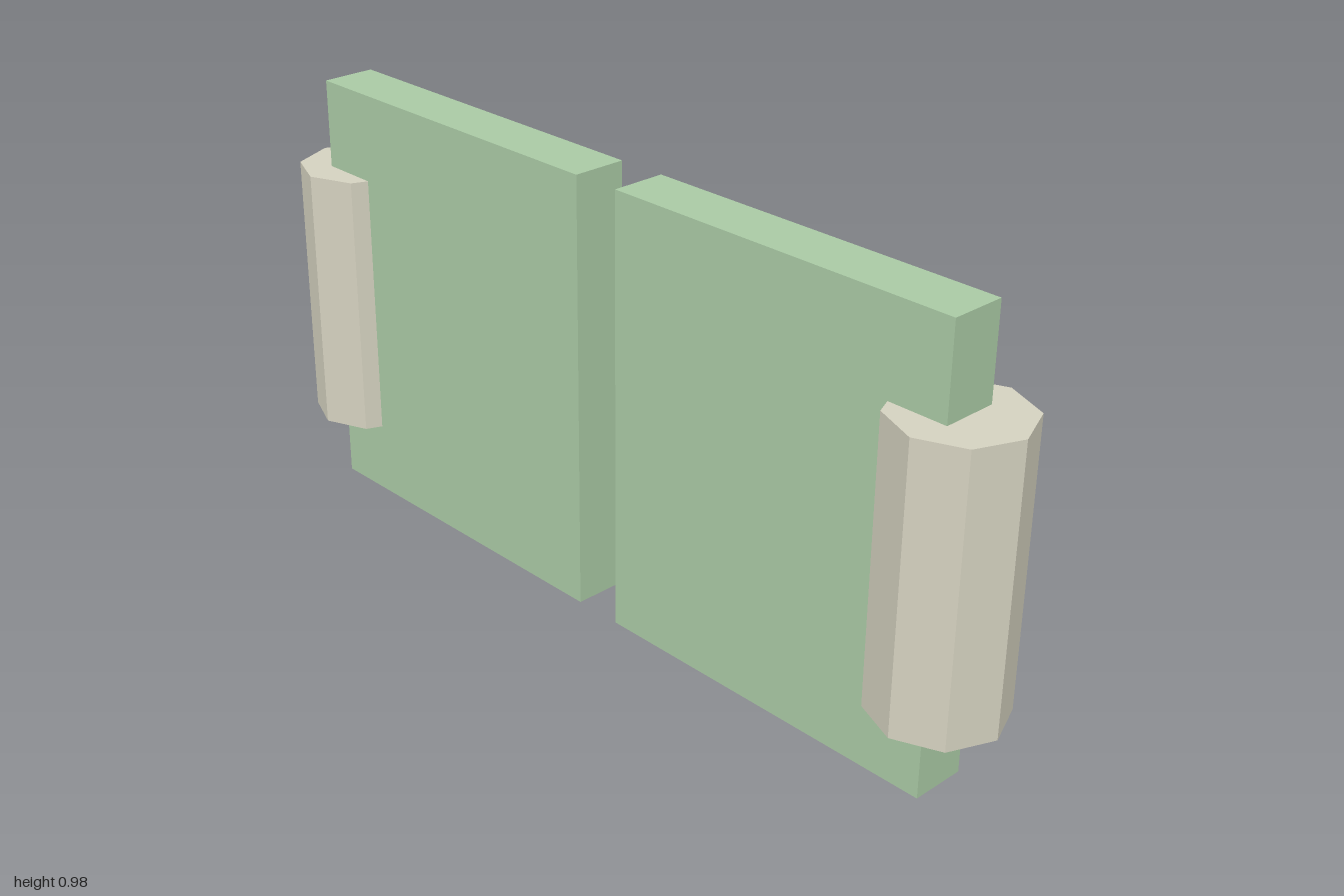
import * as THREE from 'three';

export function createModel() {
  const group = new THREE.Group();
  const panelMat = new THREE.MeshStandardMaterial({ color: 0xa9c9a4, flatShading: true });
  const postMat = new THREE.MeshStandardMaterial({ color: 0xd4d1bf, flatShading: true });

  // One swing door: a flat panel hung on an octagonal hinge post
  function addDoor(side, { inner, outer, postX, postRadius }) {
    const sign = side === 'left' ? 1 : -1;
    const door = new THREE.Group();
    door.name = side + 'Door';

    const height = 0.976;
    const panel = new THREE.Mesh(new THREE.BoxGeometry(outer - inner, height, 0.122), panelMat);
    panel.name = side + 'Panel';
    panel.position.set(sign * (inner + outer) / 2, height / 2, 0);

    const post = new THREE.Mesh(new THREE.CylinderGeometry(postRadius, postRadius, 0.61, 8), postMat);
    post.name = side + 'HingePost';
    post.position.set(sign * postX, 0.471, 0);

    door.add(panel, post);
    group.add(door);
  }

  addDoor('left', { inner: 0.055, outer: 0.878, postX: 0.861, postRadius: 0.139 });
  addDoor('right', { inner: 0.056, outer: 0.888, postX: 0.863, postRadius: 0.137 });

  return group;
}
